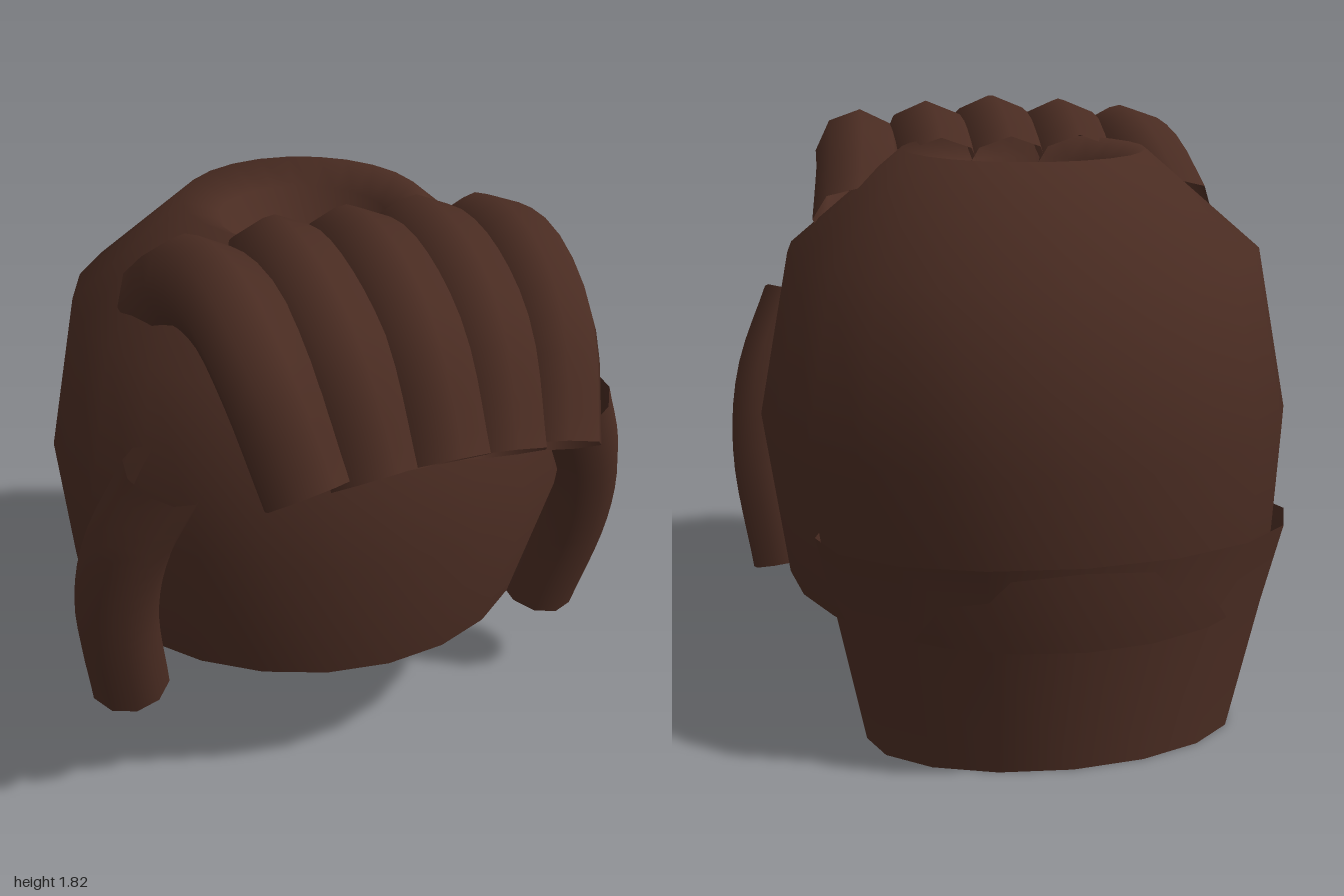
import * as THREE from 'three';

// Rings are [radius z, height, centre z, width against depth].
function loft(rings, segments) {
  const profile = rings.map(([r, y]) => new THREE.Vector2(r, y));
  const geo = new THREE.LatheGeometry(profile, segments, Math.PI);
  const pos = geo.attributes.position;
  for (let i = 0; i < pos.count; i++) {
    const [, , centre, ratio] = rings[i % rings.length];
    pos.setX(i, pos.getX(i) * ratio);
    pos.setZ(i, pos.getZ(i) + centre);
  }
  return geo;
}

// Flat underside matching the lowest ring
const underside = ([r, y, centre, ratio], segments) =>
  loft([[0.001, y, centre, ratio], [r, y, centre, ratio]], segments);

function tube(points, radius, sides) {
  const curve = new THREE.CatmullRomCurve3(points.map((p) => new THREE.Vector3(...p)));
  return new THREE.TubeGeometry(curve, 14, radius, sides, false);
}

export function createModel() {
  const group = new THREE.Group();
  const brown = new THREE.MeshStandardMaterial({ color: 0x4a2c22, side: THREE.DoubleSide });
  brown.name = 'dark brown hair';

  const add = (name, geo) => {
    const mesh = new THREE.Mesh(geo, brown);
    mesh.name = name;
    group.add(mesh);
  };

  // Main cap of hair with a deep hollow at the crown
  const cap = [
    [0.79, 0.42, -0.21, 0.95],
    [0.87, 0.9, -0.1, 0.94],
    [0.76, 1.4, -0.11, 0.95],
    [0.39, 1.7, -0.12, 0.95],
    [0.27, 1.64, -0.12, 0.97],
    [0.2, 1.48, -0.12, 1],
    [0.001, 1.42, -0.12, 1],
  ];
  add('hairCap', loft(cap, 24));
  add('hairCapUnderside', underside(cap[0], 24));

  // Flared oval band at the nape
  const nape = [
    [0.315, 0, -0.545, 0.56 / 0.315],
    [0.35, 0.42, -0.582, 0.645 / 0.35],
    [0.39, 0.66, -0.6, 0.7 / 0.39],
  ];
  add('napeHair', loft(nape, 16));
  add('napeUnderside', underside(nape[0], 16));

  // Five overlapping fringe rolls that converge forwards, the outer ones lower and shorter
  for (let i = -2; i <= 2; i++) {
    const a = Math.abs(i) / 2;
    const x = i * 0.222;
    const drop = 0.04 * a;
    const back = a === 1
      ? [[x * 1.12, 1.47, -0.02], [x * 1.05, 1.6, 0.17]]
      : [[x, 1.59, 0.14], [x, 1.655, 0.26]];
    add('fringeRoll' + (i + 3), tube([
      ...back,
      [x, 1.67 - drop, 0.46],
      [x * 0.95, 1.55 - drop, 0.72 - drop],
      [x * 0.82, 1.28 - drop, 0.89 - drop],
    ], 0.14, 8));
  }

  // Bowed side locks
  for (const s of [1, -1]) {
    add(s > 0 ? 'leftLock' : 'rightLock', tube([
      [s * 0.65, 1.15, 0.45],
      [s * 0.75, 0.9, 0.375],
      [s * 0.775, 0.66, 0.305],
      [s * 0.725, 0.305, 0.205],
    ], 0.127, 10));
  }

  return group;
}
